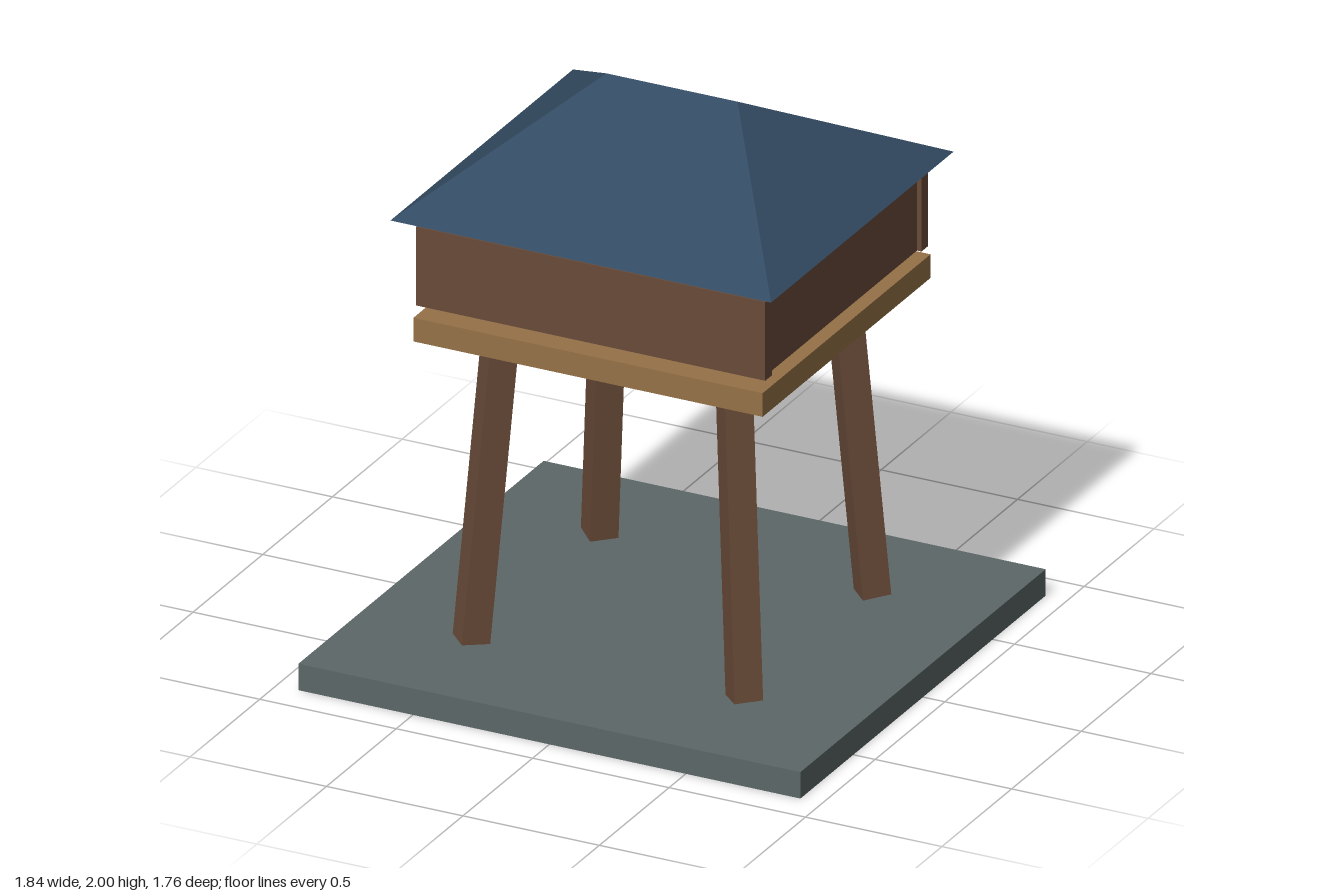
import * as THREE from 'three';

const paint = (name, color) => {
  const m = new THREE.MeshStandardMaterial({ color });
  m.name = name;
  return m;
};

export function createModel() {
  const model = new THREE.Group();
  model.name = 'watchtower';
  const wood = paint('dark wood', 0x694b39);
  const plank = paint('plank wood', 0x967248);
  const stone = paint('grey stone', 0x5c6767);
  const slate = paint('blue slate', 0x334b62);

  const add = (name, geometry, material, x = 0, y = 0, z = 0) => {
    const mesh = new THREE.Mesh(geometry, material);
    mesh.name = name;
    mesh.position.set(x, y, z);
    model.add(mesh);
    return mesh;
  };
  const box = (name, w, h, d, material, x, y, z) =>
    add(name, new THREE.BoxGeometry(w, h, d), material, x, y, z);

  // Ground slab and raised floor
  box('base', 1.84, 0.095, 1.76, stone, 0, 0.0475, 0);
  box('platform', 1.28, 0.085, 1.205, plank, 0, 1.2425, 0);

  // Four leaning legs (square, turned corner-on) and the roof posts
  const up = new THREE.Vector3(0, 1, 0);
  for (const sx of [-1, 1]) {
    for (const sz of [-1, 1]) {
      const foot = new THREE.Vector3(sx * 0.5, 0.1, sz * 0.46);
      const head = new THREE.Vector3(sx * 0.4, 1.604, sz * 0.365);
      const axis = head.clone().sub(foot);
      const geometry = new THREE.CylinderGeometry(0.069, 0.069, axis.length(), 4).toNonIndexed();
      geometry.computeVertexNormals();
      const leg = add('leg', geometry, wood);
      leg.position.copy(foot).add(head).multiplyScalar(0.5);
      leg.quaternion.setFromUnitVectors(up, axis.normalize());
      box('roofPost', 0.044, 0.36, 0.044, wood, sx * 0.5, 1.465, sz * 0.46);
    }
  }

  // Parapet walls: full-width front and back, side walls set between them
  for (const s of [-1, 1]) {
    box(s > 0 ? 'frontWall' : 'backWall', 1.28, 0.283, 0.047, wood, 0, 1.4635, s * 0.5605);
    box(s > 0 ? 'leftWall' : 'rightWall', 0.047, 0.283, 1.074, wood, s * 0.6, 1.4635, 0);
  }

  // Hipped roof: a box whose top corners are drawn in to a ridge
  const roof = new THREE.BoxGeometry(1.395, 0.355, 1.31).toNonIndexed();
  const p = roof.attributes.position;
  for (let i = 0; i < p.count; i++) {
    if (p.getY(i) > 0) p.setXYZ(i, Math.sign(p.getX(i)) * 0.24, p.getY(i), 0);
  }
  // Keep only faces with area, so the collapsed top is dropped
  const corners = [];
  const tri = new THREE.Triangle();
  for (let i = 0; i < p.count; i += 3) {
    tri.setFromAttributeAndIndices(p, i, i + 1, i + 2);
    if (tri.getArea() > 1e-6) corners.push(tri.a.clone(), tri.b.clone(), tri.c.clone());
  }
  const roofGeometry = new THREE.BufferGeometry().setFromPoints(corners);
  roofGeometry.computeVertexNormals();
  add('roof', roofGeometry, slate, 0, 1.8225, 0);

  return model;
}
